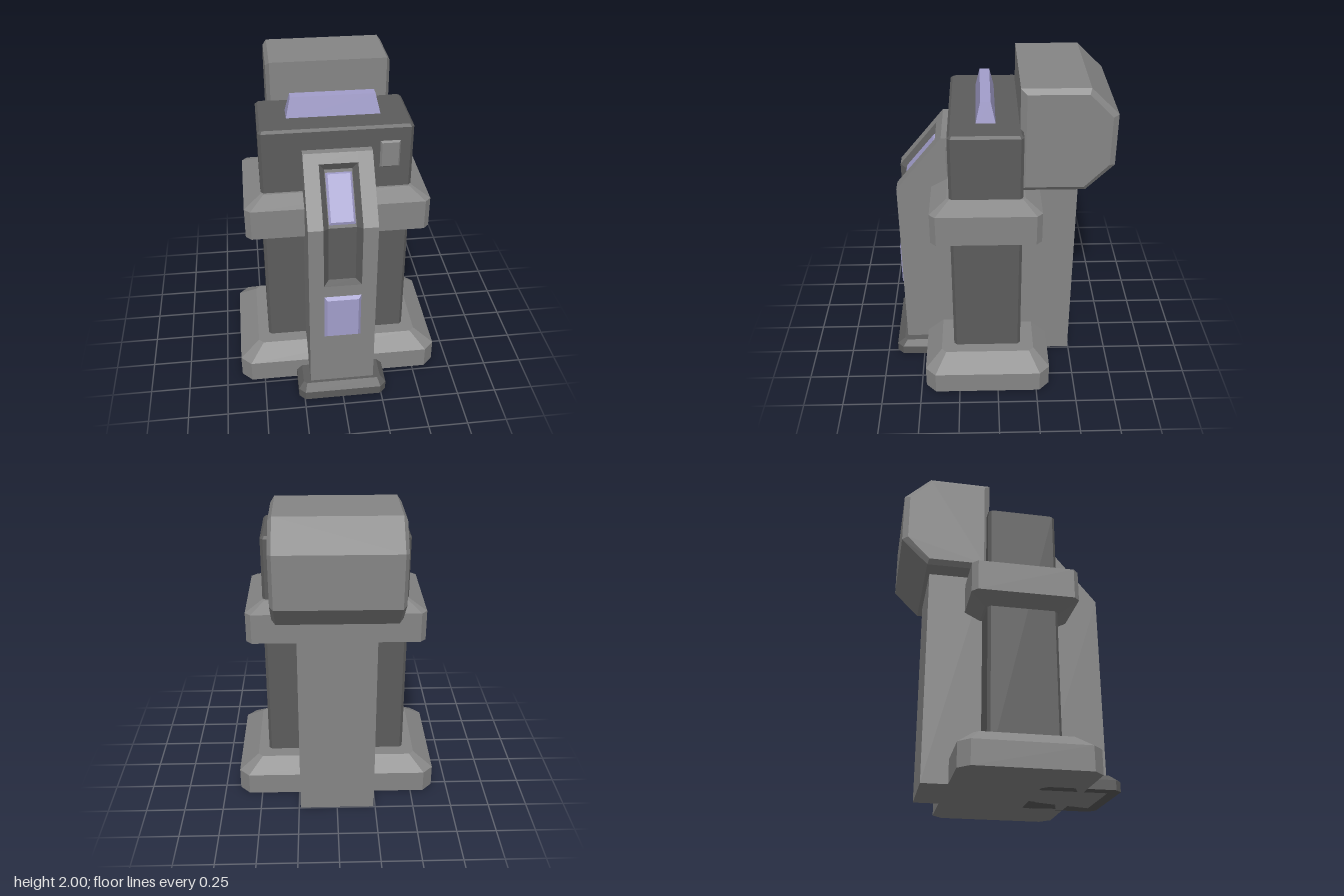
import * as THREE from 'three';

const material = (color) => new THREE.MeshStandardMaterial({ color, flatShading: true });

// Flat-faced solid through rings of [x, y, z] points, capped at both ends.
function loft(rings) {
  const pos = [];
  const tri = (a, b, c) => pos.push(...a, ...b, ...c);
  const n = rings[0].length;
  for (let i = 0; i < rings.length - 1; i++) {
    for (let j = 0; j < n; j++) {
      const k = (j + 1) % n;
      const a = rings[i][j], b = rings[i][k], c = rings[i + 1][k], d = rings[i + 1][j];
      tri(a, b, c);
      tri(a, c, d);
    }
  }
  const first = rings[0], last = rings[rings.length - 1];
  for (let j = 1; j < n - 1; j++) {
    tri(first[0], first[j + 1], first[j]);
    tri(last[0], last[j], last[j + 1]);
  }
  return fromTriangles(pos);
}

function fromTriangles(pos) {
  const g = new THREE.BufferGeometry();
  g.setAttribute('position', new THREE.Float32BufferAttribute(pos, 3));
  g.computeVertexNormals();
  return g;
}

// Horizontal rectangle at height y with cut corners.
function plate(y, hx, z0, z1, c) {
  if (!c) return [[hx, y, z1], [hx, y, z0], [-hx, y, z0], [-hx, y, z1]];
  return [
    [hx - c, y, z1], [hx, y, z1 - c], [hx, y, z0 + c], [hx - c, y, z0],
    [-hx + c, y, z0], [-hx, y, z0 + c], [-hx, y, z1 - c], [-hx + c, y, z1],
  ];
}

// Stack of plates, each given as [y, halfWidth, back, front, corner].
const stack = (levels) => loft(levels.map((l) => plate(...l)));

// Bevelled pad facing up, tilted so that it faces the front.
const pad = (hx, hy, depth, bevel, tilt = Math.PI / 2) => stack([
  [-0.01, hx, -hy, hy, 0],
  [0, hx, -hy, hy, 0],
  [depth, hx - bevel, -hy + bevel, hy - bevel, 0],
]).rotateX(tilt);

// Side profile of [z, y] points extruded from x0 to x1.
function slab(points, x0, x1) {
  const shape = new THREE.Shape(points.map(([z, y]) => new THREE.Vector2(z, y)));
  return new THREE.ExtrudeGeometry(shape, { depth: x1 - x0, bevelEnabled: false })
    .rotateY(-Math.PI / 2).translate(x1, 0, 0);
}

// Sloped lining of the front recess: outer rim and inner floor rows of [y, z].
function recessLining(outer, inner, ox, ix) {
  const pos = [];
  const quad = (a, b, c, d) => pos.push(...a, ...b, ...c, ...a, ...c, ...d);
  const at = (x, [y, z]) => [x, y, z];
  for (let i = 0; i < outer.length - 1; i++) {
    const [o, p, f, g] = [outer[i], outer[i + 1], inner[i], inner[i + 1]];
    quad(at(-ix, f), at(ix, f), at(ix, g), at(-ix, g));
    quad(at(ix, f), at(ox, o), at(ox, p), at(ix, g));
    quad(at(-ox, o), at(-ix, f), at(-ix, g), at(-ox, p));
  }
  const e = outer.length - 1;
  quad(at(-ox, outer[0]), at(ox, outer[0]), at(ix, inner[0]), at(-ix, inner[0]));
  quad(at(-ix, inner[e]), at(ix, inner[e]), at(ox, outer[e]), at(-ox, outer[e]));
  return fromTriangles(pos);
}

export function createModel() {
  const model = new THREE.Group();
  const grey = material(0x858585);
  const dark = material(0x5c5c5c);
  const violet = material(0xa29ecb);
  const add = (name, geometry, mat, x = 0, y = 0, z = 0, parent = model) => {
    const mesh = new THREE.Mesh(geometry, mat);
    mesh.name = name;
    mesh.position.set(x, y, z);
    parent.add(mesh);
    return mesh;
  };

  // Base, tower and collar
  add('base', stack([
    [0, 0.65, -0.335, 0.47, 0.065],
    [0.145, 0.65, -0.335, 0.47, 0.065],
    [0.23, 0.525, -0.235, 0.365, 0.03],
  ]), grey);
  add('tower', stack([
    [0.1, 0.455, -0.15, 0.285, 0.018],
    [1.74, 0.455, -0.15, 0.285, 0.018],
    [1.755, 0.44, -0.135, 0.27, 0.012],
  ]), dark);
  add('collar', stack([
    [1.05, 0.455, -0.165, 0.3, 0.015],
    [1.1, 0.56, -0.262, 0.4, 0.035],
    [1.295, 0.56, -0.262, 0.4, 0.035],
    [1.35, 0.455, -0.165, 0.3, 0.015],
  ]), grey);

  // Rear column and the chamfered housing on top of it
  add('rearColumn', new THREE.BoxGeometry(0.48, 1.5, 0.39), grey, 0, 0.75, -0.3);
  const outline = [[-0.13, 1.355], [-0.52, 1.355], [-0.685, 1.52], [-0.685, 1.84], [-0.52, 2], [-0.13, 2]];
  const inset = [[-0.165, 1.385], [-0.51, 1.385], [-0.65, 1.53], [-0.65, 1.83], [-0.51, 1.97], [-0.165, 1.97]];
  const section = (x, pts) => pts.map(([z, y]) => [x, y, z]);
  add('rearHousing', loft([
    section(-0.38, inset), section(-0.357, outline), section(0.357, outline), section(0.38, inset),
  ]), grey);

  // Front pillar: two rails and a middle strip cut back behind the recess
  const pillar = new THREE.Group();
  pillar.name = 'frontPillar';
  model.add(pillar);
  const profile = [[0.2, 0], [0.615, 0], [0.615, 1.28], [0.33, 1.625], [0.2, 1.625]];
  for (const side of [-1, 1]) {
    const x = side * 0.16;
    add(side > 0 ? 'leftRail' : 'rightRail', slab(profile, x - 0.045, x + 0.045), grey, 0, 0, 0, pillar);
  }
  add('middleStrip', slab([
    [0.2, 0], [0.615, 0], [0.615, 0.87], [0.54, 0.895], [0.54, 1.25],
    [0.325, 1.51], [0.371, 1.575], [0.33, 1.625], [0.2, 1.625],
  ], -0.115, 0.115), grey, 0, 0, 0, pillar);
  add('recess', recessLining(
    [[0.87, 0.615], [1.28, 0.615], [1.575, 0.371]],
    [[0.892, 0.575], [1.265, 0.575], [1.53, 0.356]], 0.115, 0.082,
  ), dark, 0, 0, 0, pillar);

  // Violet screen, front panel and top light bar
  add('screen', pad(0.078, 0.153, 0.014, 0.012, 0.88), violet, 0, 1.398, 0.466);
  add('frontPanel', pad(0.113, 0.158, 0.02, 0.017), violet, 0, 0.633, 0.615);
  add('lightBar', stack([
    [1.745, 0.283, 0.005, 0.125, 0],
    [1.875, 0.252, 0.035, 0.095, 0],
  ]), violet);

  // Small button on the upper tower and the front foot
  add('button', pad(0.06, 0.087, 0.012, 0.01), grey, 0.317, 1.572, 0.285);
  add('frontFoot', stack([
    [0, 0.285, 0.2, 0.685, 0.04],
    [0.06, 0.285, 0.2, 0.685, 0.04],
    [0.095, 0.25, 0.2, 0.635, 0.02],
  ]), dark);

  return model;
}
